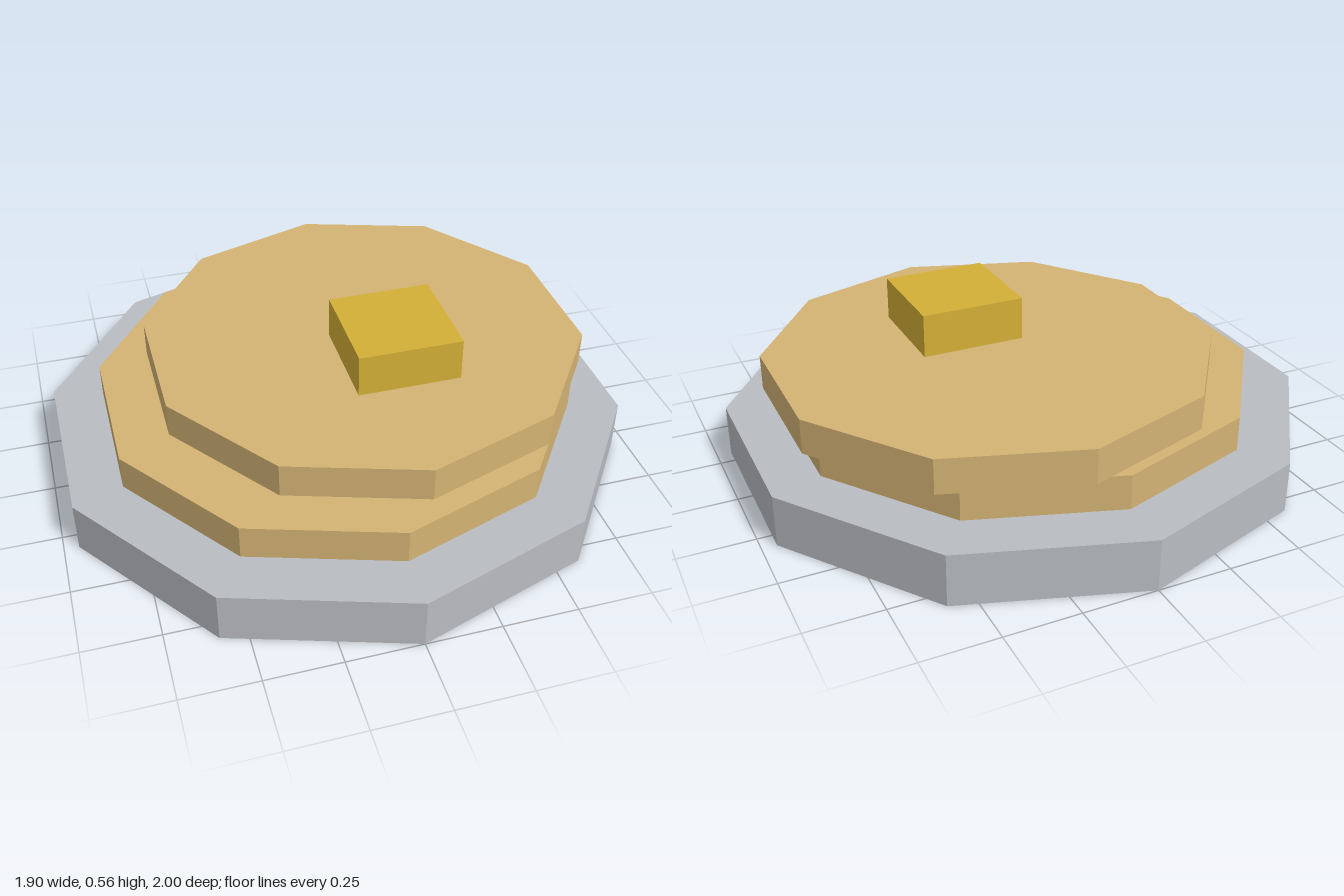
import * as THREE from 'three';

const material = (name, color) => {
  const m = new THREE.MeshStandardMaterial({ color, flatShading: true });
  m.name = name;
  return m;
};

export function createModel() {
  const group = new THREE.Group();
  group.name = 'pancakeStack';
  const grey = material('plate grey', 0xb9bcc1);
  const tan = material('pancake tan', 0xd4b374);
  const gold = material('butter gold', 0xd4af37);

  // Place a geometry with its underside at the given height
  const add = (name, geometry, mat, x, bottom, z) => {
    const mesh = new THREE.Mesh(geometry, mat);
    mesh.name = name;
    mesh.position.set(x, bottom + geometry.parameters.height / 2, z);
    group.add(mesh);
  };
  const disc = (radius, height) => new THREE.CylinderGeometry(radius, radius, height, 10);

  // Ten-sided plate, two pancakes (the upper one shifted), and a butter pat
  add('plate', disc(1, 0.176), grey, 0, 0, 0);
  add('lowerPancake', disc(0.823, 0.118), tan, 0, 0.176, 0);
  add('upperPancake', disc(0.764, 0.118), tan, 0.117, 0.294, -0.059);
  add('butter', new THREE.BoxGeometry(0.353, 0.147, 0.353), gold, 0.176, 0.412, 0.117);

  return group;
}
